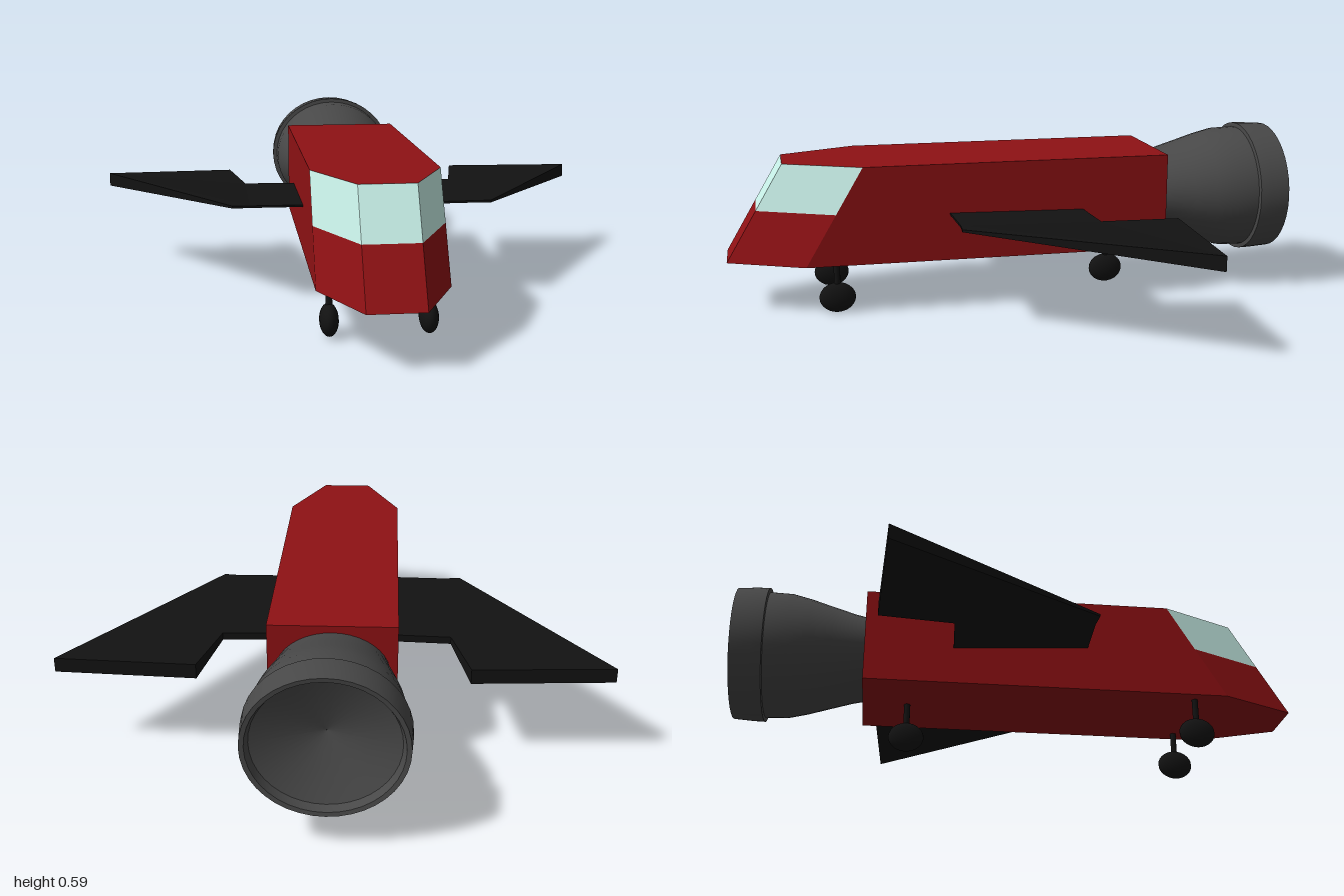
import * as THREE from 'three';
import { toCreasedNormals } from 'three/addons/utils/BufferGeometryUtils.js';

const paint = (color) => new THREE.MeshStandardMaterial({ color });
const red = paint(0x8f1114);
const glass = paint(0xc8f0e8);
const steel = paint(0x484848);
const black = paint(0x121212);

function add(parent, name, geometry, material) {
  const mesh = new THREE.Mesh(geometry, material);
  mesh.name = name;
  parent.add(mesh);
  return mesh;
}

function fromTriangles(corners) {
  const g = new THREE.BufferGeometry().setFromPoints(corners);
  g.computeVertexNormals();
  return g;
}

// Hull outline at height y: the tapered nose slides back as it rises
const BOTTOM = 0.178, SILL = 0.357, TOP = 0.517;
function outline(y) {
  const back = 0.2 * (y - BOTTOM) / (TOP - BOTTOM);
  return [[-0.21, -0.545], [0.21, -0.545], [0.21, 0.735 - back],
    [0.09, 1 - back], [-0.09, 1 - back], [-0.21, 0.735 - back]]
    .map(([x, z]) => new THREE.Vector3(x, y, z));
}

// Wall panels between two outlines, for the chosen edges
function walls(low, high, edges) {
  return edges.flatMap((i) => {
    const j = (i + 1) % low.length;
    return [low[i], high[i], high[j], low[i], high[j], low[j]];
  });
}

function cap(ring, up) {
  const out = [];
  for (let i = 1; i < ring.length - 1; i++) {
    out.push(ring[0], ...(up ? [ring[i + 1], ring[i]] : [ring[i], ring[i + 1]]));
  }
  return out;
}

// Wedge wing: thin leading edge, thinner root panel
function wingGeometry(side) {
  const plan = [[0.2, 0.24], [0.39, 0.235], [0.45, 0.24], [0.925, -0.475],
    [0.45, -0.5], [0.395, -0.245], [0.2, -0.235]];
  const shape = new THREE.Shape(plan.map(([x, z]) => new THREE.Vector2(side * x, -z)));
  const g = new THREE.ExtrudeGeometry(shape, { depth: 1, bevelEnabled: false });
  g.rotateX(-Math.PI / 2);
  const p = g.attributes.position;
  for (let i = 0; i < p.count; i++) {
    const aft = (0.245 - p.getZ(i)) / 0.745;
    const root = Math.abs(p.getX(i)) < 0.42;
    const upper = root ? 0.345 - 0.015 * aft : 0.346;
    const lower = 0.338 - 0.043 * aft;
    p.setY(i, p.getY(i) > 0.5 ? upper : Math.min(lower, upper - 0.004));
  }
  g.computeVertexNormals();
  return g;
}

// Engine bell with a raised rim and a shallow cone inside
function engineGeometry() {
  const profile = [[0.001, 0.53], [0.185, 0.53], [0.193, 0.58], [0.212, 0.66], [0.23, 0.74],
    [0.24, 0.81], [0.24, 0.888], [0.256, 0.89], [0.255, 0.93], [0.25, 1],
    [0.235, 0.998], [0.225, 0.97], [0.001, 0.89]];
  const g = new THREE.LatheGeometry(profile.map(([r, d]) => new THREE.Vector2(r, d)), 40);
  g.rotateX(-Math.PI / 2);
  const p = g.attributes.position;
  for (let i = 0; i < p.count; i++) {
    // Flattened where it meets the hull, nearly round at the rim
    const t = Math.min(1, Math.max(0, (-p.getZ(i) - 0.53) / 0.3));
    p.setY(i, p.getY(i) * (0.77 + 0.16 * t));
  }
  return toCreasedNormals(g, 0.5);
}

export function createModel() {
  const model = new THREE.Group();
  model.name = 'spaceplane';

  // Hull and wraparound windscreen
  const low = outline(BOTTOM), mid = outline(SILL), high = outline(TOP);
  add(model, 'hull', fromTriangles([
    ...cap(low, false), ...walls(low, mid, [0, 1, 2, 3, 4, 5]),
    ...walls(mid, high, [0, 1, 5]), ...cap(high, true),
  ]), red);
  add(model, 'windscreen', fromTriangles(walls(mid, high, [2, 3, 4])), glass);

  // Wings
  add(model, 'leftWing', wingGeometry(1), black);
  add(model, 'rightWing', wingGeometry(-1), black);

  // Engine
  add(model, 'engine', engineGeometry(), steel).position.y = 0.348;

  // Landing gear: a pair in front, one behind
  const wheel = new THREE.SphereGeometry(1, 20, 14).scale(0.031, 0.053, 0.063);
  const strut = new THREE.CylinderGeometry(0.011, 0.011, 0.12, 10);
  for (const [name, x, z] of [['leftFrontGear', 0.16, 0.63],
    ['rightFrontGear', -0.16, 0.63], ['rearGear', 0, -0.385]]) {
    const gear = new THREE.Group();
    gear.name = name;
    gear.position.set(x, 0, z);
    add(gear, 'wheel', wheel, black).position.y = 0.053;
    add(gear, 'strut', strut, black).position.y = 0.13;
    model.add(gear);
  }
  return model;
}
